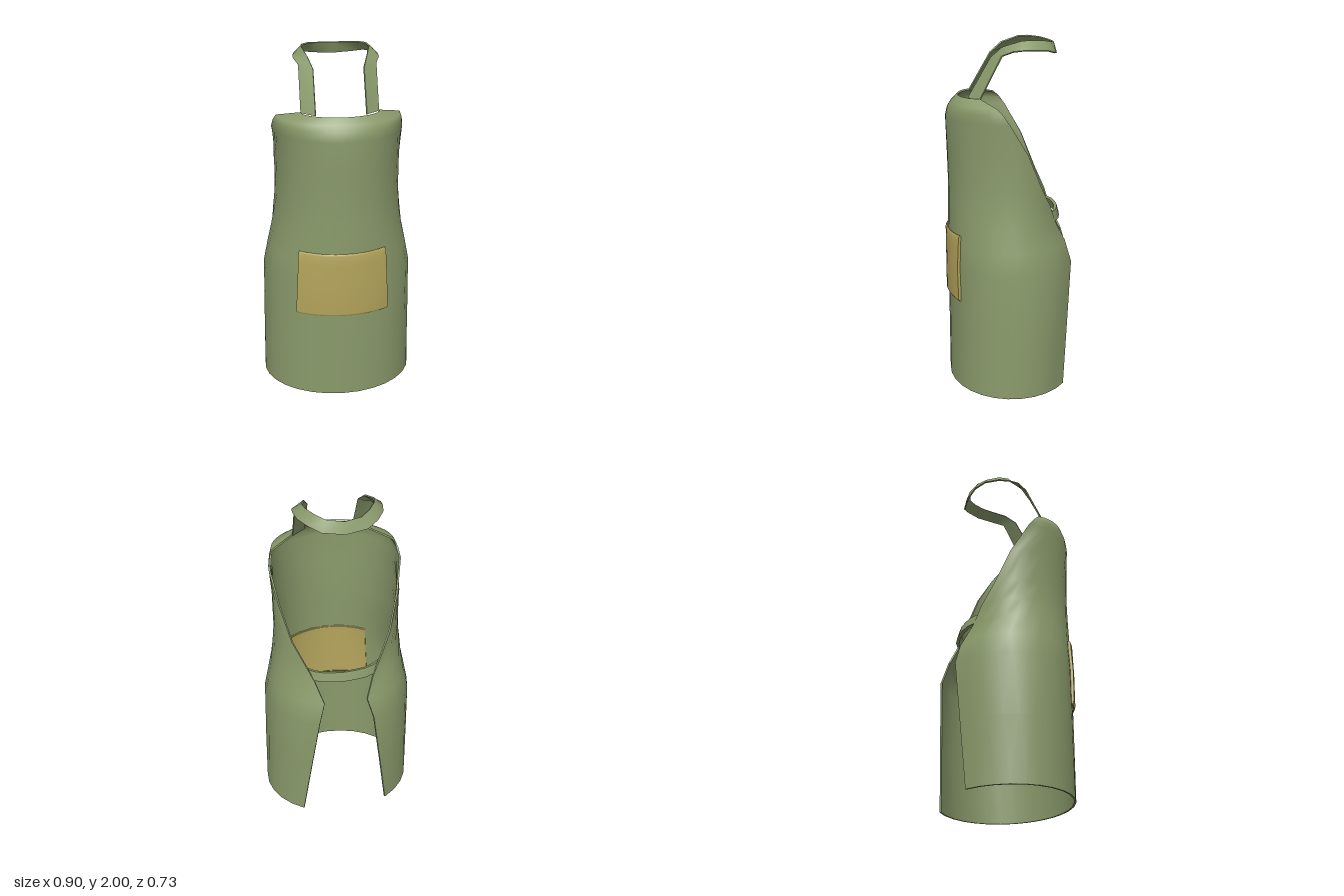
import * as THREE from 'three';
import { mergeGeometries } from 'three/addons/utils/BufferGeometryUtils.js';

// Smooth grid surface; rows run bottom to top, columns left to right seen from outside.
function surface(rows, flip) {
  const cols = rows[0].length, index = [];
  for (let i = 0; i < rows.length - 1; i++) {
    for (let j = 0; j < cols - 1; j++) {
      const a = i * cols + j, b = a + 1, c = b + cols, d = a + cols;
      index.push(...(flip ? [a, c, b, a, d, c] : [a, b, c, a, c, d]));
    }
  }
  const g = new THREE.BufferGeometry().setFromPoints(rows.flat());
  g.setIndex(index);
  g.computeVertexNormals();
  return g;
}

// Cloth of a given thickness: outer skin, inner skin and a crisp rim.
function cloth(rows, thickness) {
  const outer = surface(rows, false);
  const n = outer.attributes.normal, cols = rows[0].length;
  const inRows = rows.map((row, i) => row.map((p, j) =>
    p.clone().addScaledVector(new THREE.Vector3().fromBufferAttribute(n, i * cols + j), -thickness)));
  const loop = [], last = rows.length - 1;
  for (let j = 0; j < cols - 1; j++) loop.push([0, j]);
  for (let i = 0; i < last; i++) loop.push([i, cols - 1]);
  for (let j = cols - 1; j > 0; j--) loop.push([last, j]);
  for (let i = last; i > 0; i--) loop.push([i, 0]);
  const rim = [];
  loop.forEach(([i, j], k) => {
    const [u, v] = loop[(k + 1) % loop.length];
    const a = rows[i][j], b = inRows[i][j], c = inRows[u][v], d = rows[u][v];
    rim.push(a, b, c, a, c, d);
  });
  const rimGeo = new THREE.BufferGeometry().setFromPoints(rim);
  rimGeo.computeVertexNormals();
  return mergeGeometries([outer.toNonIndexed(), surface(inRows, true).toNonIndexed(), rimGeo]);
}

// Body rings: height, half width, centre z, front z, and the x and z of the free back edge.
const RINGS = [
  [0, 0.45, -0.02, 0.35, 0.26, -0.32],
  [0.37, 0.443, -0.02, 0.35, 0.21, -0.343],
  [0.73, 0.435, -0.02, 0.35, 0.16, -0.365],
  [0.85, 0.41, -0.02, 0.35, 0.125, -0.33],
  [0.97, 0.385, -0.02, 0.35, 0.17, -0.27],
  [1.08, 0.37, -0.02, 0.347, 0.22, -0.235],
  [1.2, 0.36, -0.02, 0.345, 0.28, -0.18],
  [1.4, 0.36, -0.02, 0.35, 0.335, -0.1],
  [1.57, 0.37, 0, 0.355, 0.37, 0],
  [1.62, 0.36, 0.035, 0.343, 0.36, 0.035],
  [1.655, 0.345, 0.07, 0.32, 0.345, 0.07],
  [1.69, 0.215, 0.16, 0.285, 0.215, 0.16],
];

function bodyRow([y, rx, zc, zf, xe, ze]) {
  const end = Math.PI - Math.asin(Math.min(1, xe / rx));
  const back = ze < zc ? (zc - ze) / -Math.cos(end) : 0;
  const row = [];
  for (let k = -12; k <= 12; k++) {
    const a = end * k / 12, c = Math.cos(a);
    row.push(new THREE.Vector3(rx * Math.sin(a), y, zc + c * (c > 0 ? zf - zc : back)));
  }
  return row;
}

// Point on the front of the body, pushed outward by a small offset.
function frontPoint(x, y, offset) {
  const i = Math.max(1, RINGS.findIndex(r => r[0] >= y));
  const p = RINGS[i - 1], q = RINGS[i], t = (y - p[0]) / (q[0] - p[0]);
  const [rx, zc, zf] = [1, 2, 3].map(k => THREE.MathUtils.lerp(p[k], q[k], t));
  const s = x / rx;
  return new THREE.Vector3(x + offset * s, y, zc + (zf - zc) * Math.sqrt(1 - s * s) + offset * Math.sqrt(1 - s * s));
}

// Mirrors a half path (from +x end to centre) into a full one.
function mirrored(half) {
  const pts = half.map(p => new THREE.Vector3(...p));
  const other = pts.slice(0, -1).reverse().map(p => new THREE.Vector3(-p.x, p.y, p.z));
  return [...pts, ...other];
}

export function createModel() {
  const group = new THREE.Group();
  const green = new THREE.MeshStandardMaterial({ color: 0x8a9a6b });
  const ochre = new THREE.MeshStandardMaterial({ color: 0xb5a55c });
  const add = (name, geometry, material) => {
    const mesh = new THREE.Mesh(geometry, material);
    mesh.name = name;
    group.add(mesh);
  };

  // Wrapped skirt and bib
  add('apronBody', cloth(RINGS.map(bodyRow), 0.01), green);

  // Front pocket, a patch that also shows on the inside
  const pocketRows = [0.53, 0.545, 0.73, 0.85, 0.91, 0.92].map((y, i) => {
    const half = THREE.MathUtils.lerp(0.26, 0.24, (y - 0.53) / 0.39);
    const offset = i === 0 || i === 5 ? 0.005 : 0.014;
    return Array.from({ length: 13 }, (_, j) => frontPoint(half * (j / 6 - 1), y, offset));
  });
  add('pocket', cloth(pocketRows, 0.03), ochre);

  // Neck strap, looping from the bib round behind the neck
  const lower = [[0.215, 1.685, 0.16], [0.215, 1.92, 0.04], [0.238, 1.945, -0.02], [0.238, 1.95, -0.07],
    [0.225, 1.95, -0.14], [0.18, 1.945, -0.215], [0.12, 1.927, -0.262], [0, 1.915, -0.28]];
  const upper = [[0.14, 1.685, 0.225], [0.14, 1.91, 0.095], [0.165, 1.965, 0.03], [0.19, 1.997, -0.07],
    [0.18, 2, -0.125], [0.14, 1.995, -0.19], [0.09, 1.985, -0.237], [0, 1.98, -0.26]];
  add('neckStrap', cloth([mirrored(lower), mirrored(upper)], 0.008), green);

  // Waist tie bridging the back opening
  const tie = (y, dz) => mirrored([[0.215, y, -0.235 + dz], [0.17, y, -0.268 + dz],
    [0.12, y, -0.29 + dz], [0.06, y, -0.3 + dz], [0, y, -0.305 + dz]]);
  add('waistTie', cloth([tie(0.98, 0), tie(1.035, 0.015)], 0.018), green);

  return group;
}
